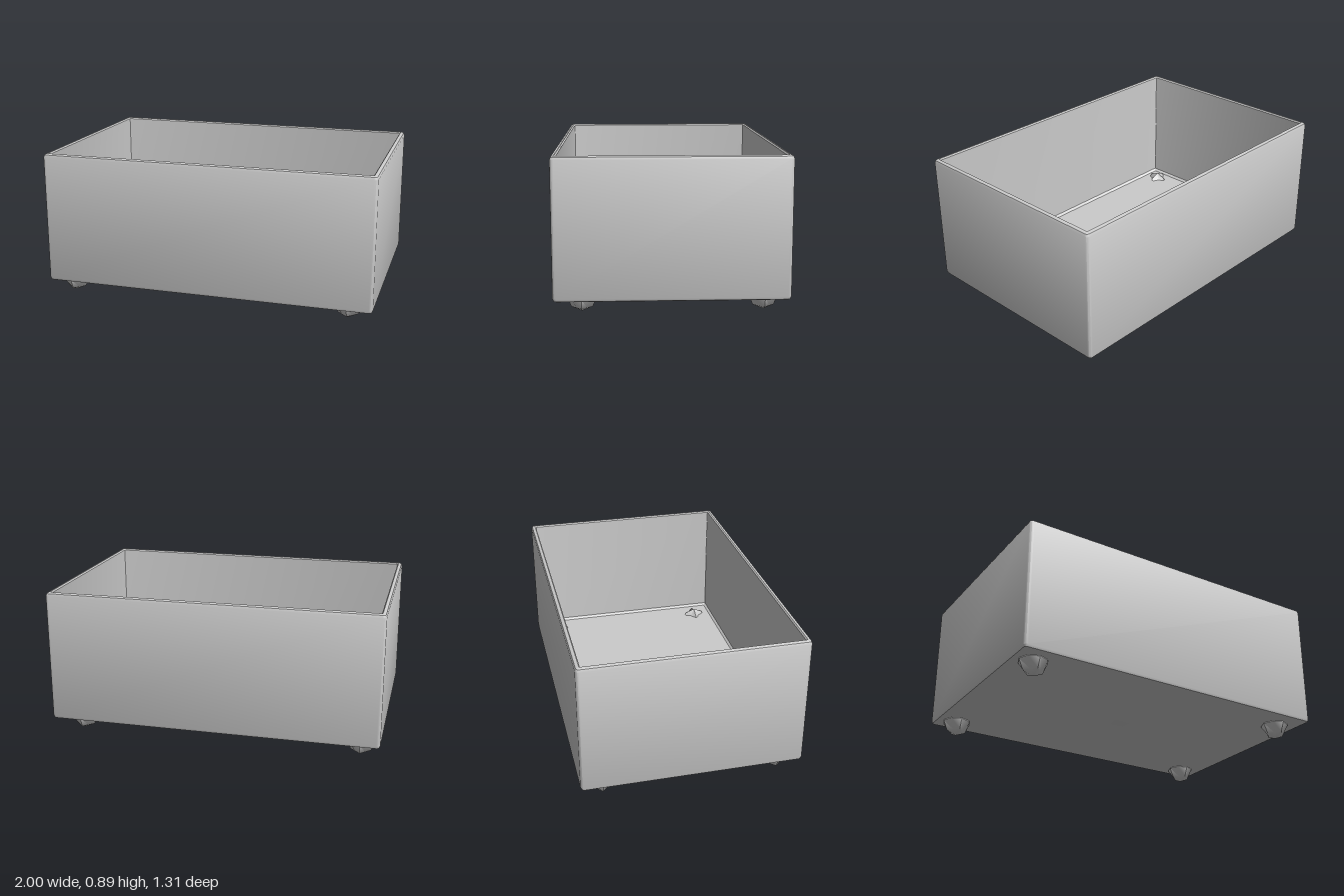
import * as THREE from 'three';
import { toCreasedNormals } from 'three/addons/utils/BufferGeometryUtils.js';

const material = new THREE.MeshStandardMaterial({ color: 0xcccccc });
const HALF_X = 1, HALF_Z = 0.655, CORNER = 0.022, STEPS = 3;
const FOOT_RADIUS = 0.085;

// Rounded rectangle ring, inset from the outer footprint
function ring(inset, y) {
  const r = Math.max(CORNER - inset, 0.004);
  const cx = HALF_X - inset - r, cz = HALF_Z - inset - r;
  const points = [];
  [[1, -1], [-1, -1], [-1, 1], [1, 1]].forEach(([sx, sz], corner) => {
    for (let i = 0; i <= STEPS; i++) {
      const a = (corner + i / STEPS) * Math.PI / 2;
      points.push(new THREE.Vector3(sx * cx + r * Math.cos(a), y, sz * cz - r * Math.sin(a)));
    }
  });
  return points;
}

// Open tray swept from under the base, over the rim and down to the inner floor
function trayGeometry() {
  const profile = [
    [0.02, 0.09], [0.006, 0.096], [0, 0.11], [0, 0.87], [0.006, 0.884], [0.018, 0.89],
    [0.024, 0.89], [0.031, 0.882], [0.031, 0.145], [0.043, 0.13],
  ];
  const rings = profile.map(([inset, y]) => ring(inset, y));
  const n = rings[0].length;
  const vertices = [];
  const tri = (...corners) => corners.forEach((p) => vertices.push(p.x, p.y, p.z));
  const under = new THREE.Vector3(0, 0.09, 0);
  const floor = new THREE.Vector3(0, 0.13, 0);
  for (let j = 0; j < n; j++) {
    const k = (j + 1) % n;
    for (let i = 0; i < rings.length - 1; i++) {
      const low = rings[i], high = rings[i + 1];
      tri(low[j], low[k], high[k]);
      tri(low[j], high[k], high[j]);
    }
    tri(under, rings[0][k], rings[0][j]);
    const last = rings[rings.length - 1];
    tri(floor, last[j], last[k]);
  }
  const geometry = new THREE.BufferGeometry();
  geometry.setAttribute('position', new THREE.Float32BufferAttribute(vertices, 3));
  return toCreasedNormals(geometry, 0.6);
}

// Faceted ball: four-pointed star on top, diamond underneath
function footGeometry() {
  const geometry = new THREE.SphereGeometry(FOOT_RADIUS, 8, 4);
  const p = geometry.attributes.position;
  const s = Math.SQRT1_2;
  for (let i = 0; i < p.count; i++) {
    const x = p.getX(i), y = p.getY(i), z = p.getZ(i);
    const diagonal = Math.abs(x) > 0.01 && Math.abs(z) > 0.01 && Math.abs(y) > 0.01;
    if (diagonal) p.setXYZ(i, x * s, y > 0 ? y * s : y, z * s);
  }
  return toCreasedNormals(geometry, 0.9);
}

export function createModel() {
  const model = new THREE.Group();
  model.name = 'footedTray';

  const tray = new THREE.Mesh(trayGeometry(), material);
  tray.name = 'tray';
  model.add(tray);

  // Feet, slightly uneven in placement
  const foot = footGeometry();
  const places = {
    frontLeftFoot: [0.84, 0.5],
    frontRightFoot: [-0.88, 0.52],
    backLeftFoot: [0.84, -0.52],
    backRightFoot: [-0.88, -0.52],
  };
  for (const [name, [x, z]] of Object.entries(places)) {
    const mesh = new THREE.Mesh(foot, material);
    mesh.name = name;
    mesh.position.set(x, FOOT_RADIUS, z);
    model.add(mesh);
  }
  return model;
}
